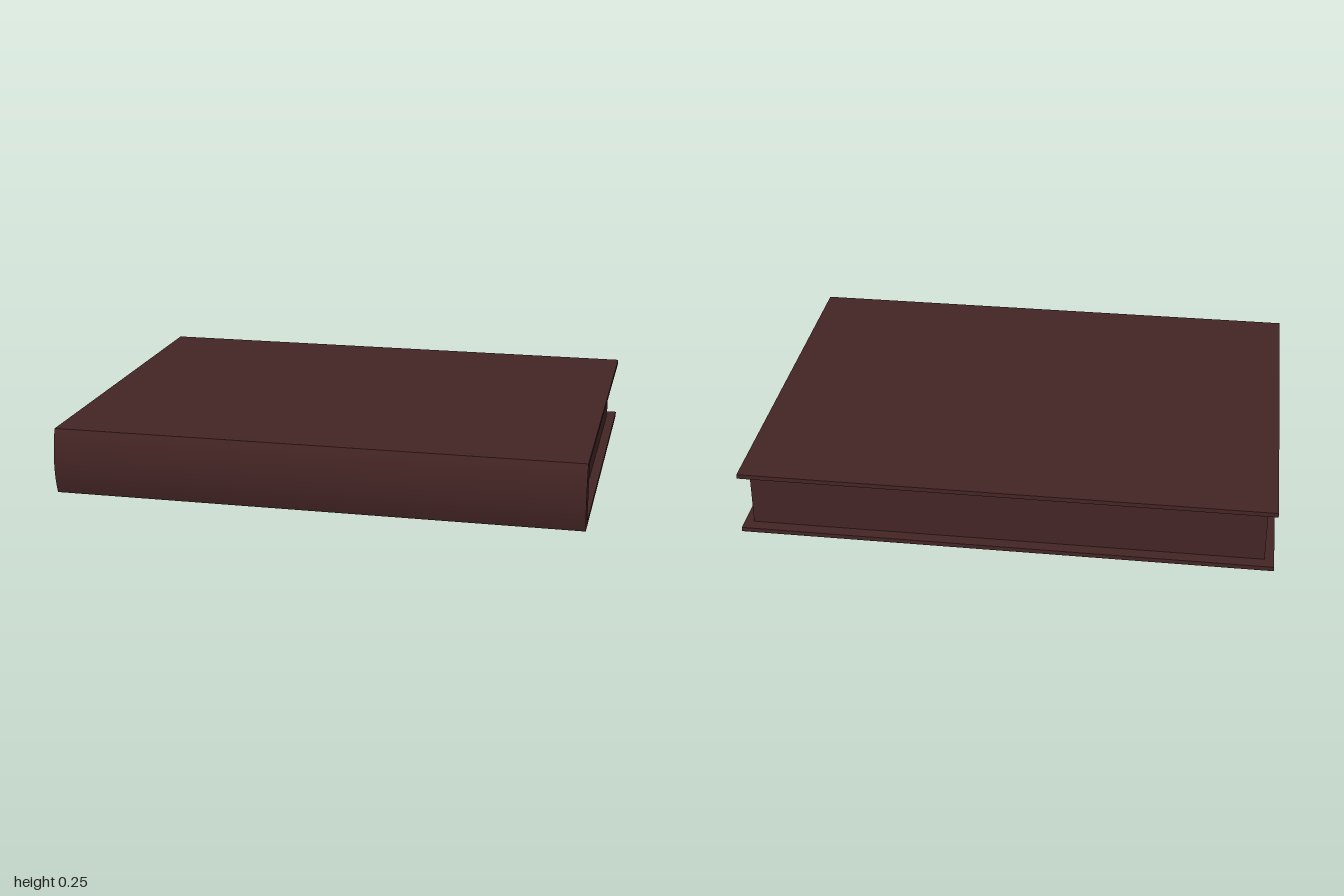
import * as THREE from 'three';
import { toCreasedNormals } from 'three/addons/utils/BufferGeometryUtils.js';

const HEIGHT = 0.253, BOARD = 0.017, BACK = -0.763;
const SPINE_INNER = 0.684, SPINE_EDGE = 0.741, SPINE_BULGE = 0.763;
const PAGE_BACK = -0.716, PAGE_HALF_LENGTH = 0.965;

export function createModel() {
  const book = new THREE.Group();
  book.name = 'book';
  const leather = new THREE.MeshStandardMaterial({ color: 0x432424 });
  leather.name = 'darkBrown';

  // Cover: a C-shaped section (two boards and a rounded spine) along x
  const section = new THREE.Shape();
  section.moveTo(BACK, 0);
  section.lineTo(SPINE_EDGE, 0);
  const sag = SPINE_BULGE - SPINE_EDGE, half = HEIGHT / 2;
  const radius = (half * half + sag * sag) / (2 * sag);
  const angle = Math.asin(half / radius);
  section.absarc(SPINE_BULGE - radius, half, radius, -angle, angle, false);
  section.lineTo(BACK, HEIGHT);
  section.lineTo(BACK, HEIGHT - BOARD);
  section.lineTo(SPINE_INNER, HEIGHT - BOARD);
  section.lineTo(SPINE_INNER, BOARD);
  section.lineTo(BACK, BOARD);
  section.closePath();

  const coverGeometry = new THREE.ExtrudeGeometry(section, { depth: 2, bevelEnabled: false, curveSegments: 16 });
  coverGeometry.translate(0, 0, -1);
  coverGeometry.rotateY(-Math.PI / 2); // section runs along z, extrusion along x
  const cover = new THREE.Mesh(toCreasedNormals(coverGeometry, 0.2), leather);
  cover.name = 'coverAndSpine';
  book.add(cover);

  // Page block, set in from the board edges
  const pages = new THREE.Mesh(
    new THREE.BoxGeometry(PAGE_HALF_LENGTH * 2, HEIGHT - 2 * BOARD, SPINE_INNER - PAGE_BACK), leather);
  pages.position.set(0, half, (SPINE_INNER + PAGE_BACK) / 2);
  pages.name = 'pageBlock';
  book.add(pages);

  return book;
}
